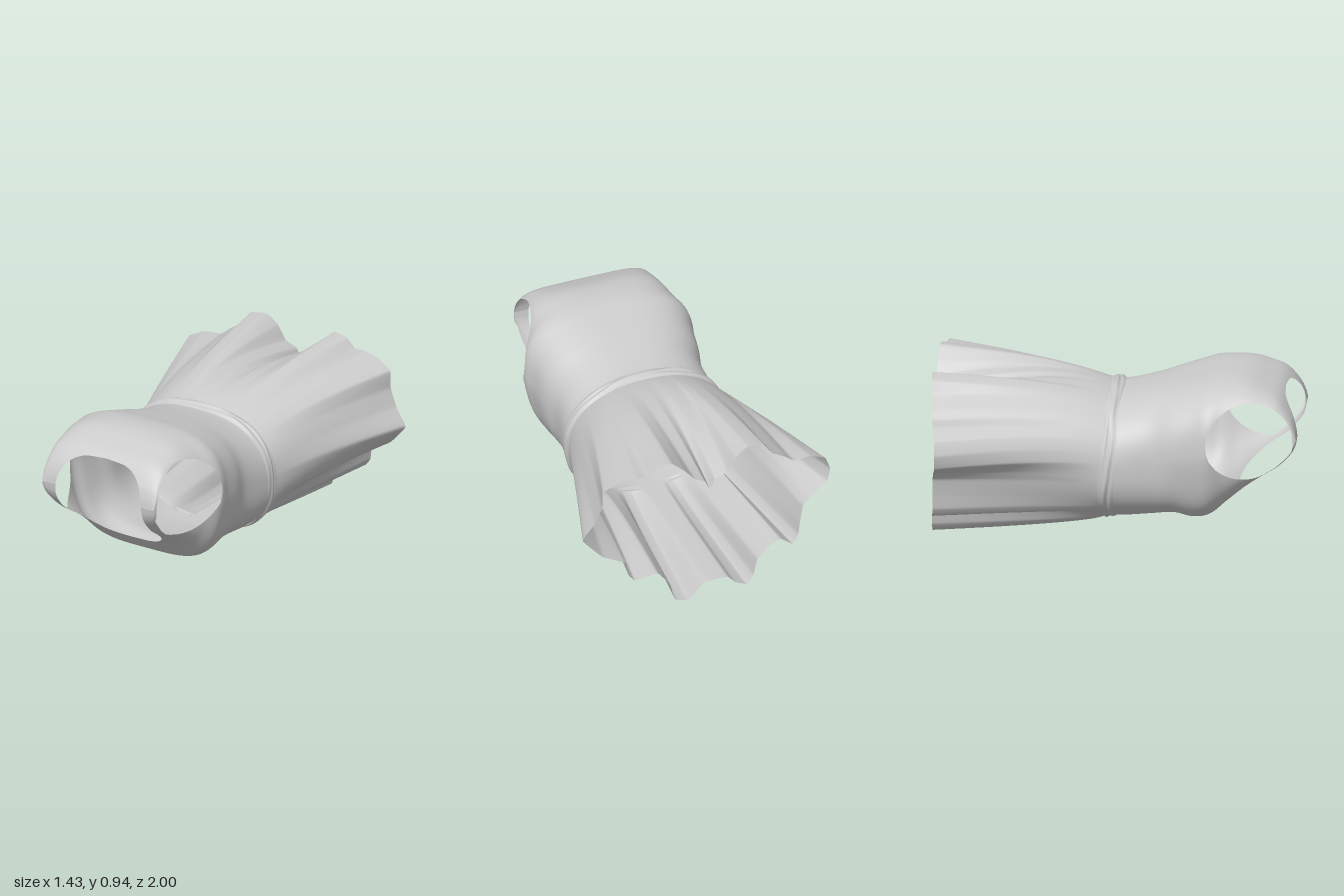
import * as THREE from 'three';
import { mergeVertices } from 'three/addons/utils/BufferGeometryUtils.js';

const fabric = new THREE.MeshStandardMaterial({ color: 0xcccccc, side: THREE.DoubleSide });
const V = (x, y, z) => new THREE.Vector3(x, y, z);
const sgnPow = (v, e) => Math.sign(v) * Math.pow(Math.abs(v), e);

// Catmull-Rom interpolation through rows of numbers, t in 0..1
function sampleRows(rows, t) {
  const f = t * (rows.length - 1), i = Math.min(Math.floor(f), rows.length - 2), u = f - i;
  const row = (k) => rows[Math.max(0, Math.min(rows.length - 1, k))];
  return rows[0].map((_, k) => {
    const [a, b, c, d] = [row(i - 1)[k], row(i)[k], row(i + 1)[k], row(i + 2)[k]];
    return b + 0.5 * u * (c - a + u * (2 * a - 5 * b + 4 * c - d + u * (3 * (b - c) + d - a)));
  });
}

// Triangles of a tube whose rings advance towards +z
function tube(rings, segs, point) {
  const tris = [], grid = [];
  for (let i = 0; i <= rings; i++) {
    grid.push(Array.from({ length: segs }, (_, j) => point(i / rings, j / segs)));
  }
  for (let i = 0; i < rings; i++) {
    for (let j = 0; j < segs; j++) {
      const k = (j + 1) % segs;
      const [a, b, c, d] = [grid[i][j], grid[i][k], grid[i + 1][k], grid[i + 1][j]];
      tris.push([a, b, c], [a, c, d]);
    }
  }
  return tris;
}

// Keep only the part of each triangle where field > 0, for clean openings
function cut(tris, field) {
  const out = [];
  for (const tri of tris) {
    const poly = [];
    tri.forEach((p, i) => {
      const q = tri[(i + 1) % 3], fp = field(p), fq = field(q);
      if (fp > 0) poly.push(p);
      if ((fp > 0) !== (fq > 0)) poly.push(p.clone().lerp(q, fp / (fp - fq)));
    });
    for (let i = 2; i < poly.length; i++) out.push([poly[0], poly[i - 1], poly[i]]);
  }
  return out;
}

function cloth(name, tris) {
  let geo = new THREE.BufferGeometry().setFromPoints(tris.flat());
  geo = mergeVertices(geo, 1e-5);
  geo.computeVertexNormals();
  const mesh = new THREE.Mesh(geo, fabric);
  mesh.name = name;
  return mesh;
}

// Bodice stations: z, half width, chest y, back y, squareness, taper towards the chest
const BODICE = [
  [-0.05, 0.455, 0.112, 0.805, 2.3, 0],
  [0.05, 0.442, 0.115, 0.808, 2.4, 0],
  [0.2, 0.43, 0.135, 0.842, 2.6, 0.03],
  [0.32, 0.457, 0.157, 0.875, 2.8, 0.1],
  [0.43, 0.472, 0.142, 0.905, 3.1, 0.16],
  [0.52, 0.49, 0.165, 0.93, 3.1, 0.16],
  [0.61, 0.455, 0.24, 0.94, 3.2, 0.1],
  [0.71, 0.418, 0.33, 0.932, 3.8, 0.03],
  [0.8, 0.393, 0.4, 0.902, 4.6, 0],
  [0.89, 0.377, 0.465, 0.857, 5.5, 0],
  [0.955, 0.37, 0.535, 0.78, 5.5, 0],
  [0.985, 0.365, 0.59, 0.71, 5, 0],
  [0.995, 0.36, 0.65, 0.65, 4, 0],
];

function bodicePoint(t, s) {
  const [z, w, y0, y1, square, taper] = sampleRows(BODICE, t), a = s * Math.PI * 2;
  const n = Math.sin(a) < 0 ? square + 5 * taper : square;
  const v = sgnPow(Math.sin(a), 2 / n);
  return V(w * sgnPow(Math.cos(a), 2 / n) * (1 + taper * Math.min(0, v)),
    (y0 + y1) / 2 + ((y1 - y0) / 2) * v, z);
}

// Openings: rounded-square neckline, and oval armholes that spare the straps
const neckline = (p) => p.z < 0.3 ? 1 :
  Math.cbrt(Math.pow(Math.abs(p.x) / 0.28, 3) + Math.pow(Math.abs(p.y - 0.56) / 0.28, 3)) - 1;
const armhole = (p) => Math.max(
  Math.hypot((p.z - 0.745) / 0.232, (p.y - 0.64) / 0.218) - 1,
  0.352 - 1.2 * (p.y - 0.6) ** 2 - Math.abs(p.x));

// Folded hem outline (x, y), counterclockwise from the left side
const HEM = [
  .715, .51, .65, .61, .61, .71, .605, .81, .52, .86, .42, .875, .36, .87, .30, .92,
  .22, .93, .14, .86, .09, .80, .03, .77, 0, .71, -.03, .77, -.10, .80, -.15, .88,
  -.22, .93, -.32, .915, -.36, .85, -.45, .79, -.50, .75, -.60, .745, -.69, .70, -.72, .62,
  -.70, .54, -.60, .48, -.555, .43, -.535, .33, -.525, .25, -.49, .20, -.42, .255, -.36, .24,
  -.28, .17, -.255, .07, -.215, .02, -.145, .055, -.10, .10, .03, .10, .10, .03, .13, .005,
  .20, .025, .23, .13, .30, .22, .38, .205, .43, .20, .465, .245, .48, .325, .605, .385,
];

function skirtTriangles() {
  const pts = [];
  for (let i = 0; i < HEM.length; i += 2) pts.push(V(HEM[i], HEM[i + 1], 0));
  const hem = new THREE.CatmullRomCurve3(pts, true, 'catmullrom', 0.2);
  // Smooth flared section; folds grow out of it, soonest on the underside
  const smooth = (a, t) => {
    const y0 = 0.11 - 0.01 * t, y1 = 0.81 + 0.1 * (1 - (1 - t) ** 3);
    return V((0.455 + 0.19 * t) * sgnPow(Math.cos(a), 0.88),
      (y0 + y1) / 2 + ((y1 - y0) / 2) * sgnPow(Math.sin(a), 0.88), 0);
  };
  return tube(36, 288, (r, s) => {
    const t = 1 - r, h = hem.getPoint(s);
    const a = Math.atan2((h.y - 0.49) / 0.42, h.x / 0.645);
    const fold = Math.pow(t, 1.05 + 0.6 * Math.sin(a));
    const p = smooth(a, t).addScaledVector(h.clone().sub(smooth(a, 1)), fold);
    const end = -1 + 0.06 * Math.min(1, Math.pow(Math.abs(h.x) / 0.7, 2));
    p.z = -0.05 + (end + 0.05) * t;
    return p;
  });
}

// Gathered sash around the waist, with slanting wrinkles
function sashPoint(t, s) {
  const a = s * Math.PI * 2, bulge = Math.sin(t * Math.PI);
  const wrinkle = 0.004 * Math.sin(t * 15 + 3 * Math.sin(a * 2)) + 0.003 * Math.sin(a * 7 + t * 9);
  const g = 0.001 + bulge * (0.006 + wrinkle);
  const rise = 0.012 * bulge * Math.max(0, Math.sin(a));
  return V((0.455 + g) * sgnPow(Math.cos(a), 0.87),
    0.458 + (0.348 + g + rise) * sgnPow(Math.sin(a), 0.87),
    -0.07 + 0.085 * t + 0.012 * Math.sin(a) + 0.004 * Math.sin(a * 5));
}

export function createModel() {
  const dress = new THREE.Group();
  dress.name = 'dress';
  const shell = tube(96, 160, bodicePoint);
  dress.add(
    cloth('bodice', cut(cut(shell, neckline), armhole)),
    cloth('waistSash', tube(14, 120, sashPoint)),
    cloth('pleatedSkirt', skirtTriangles()),
  );
  return dress;
}
